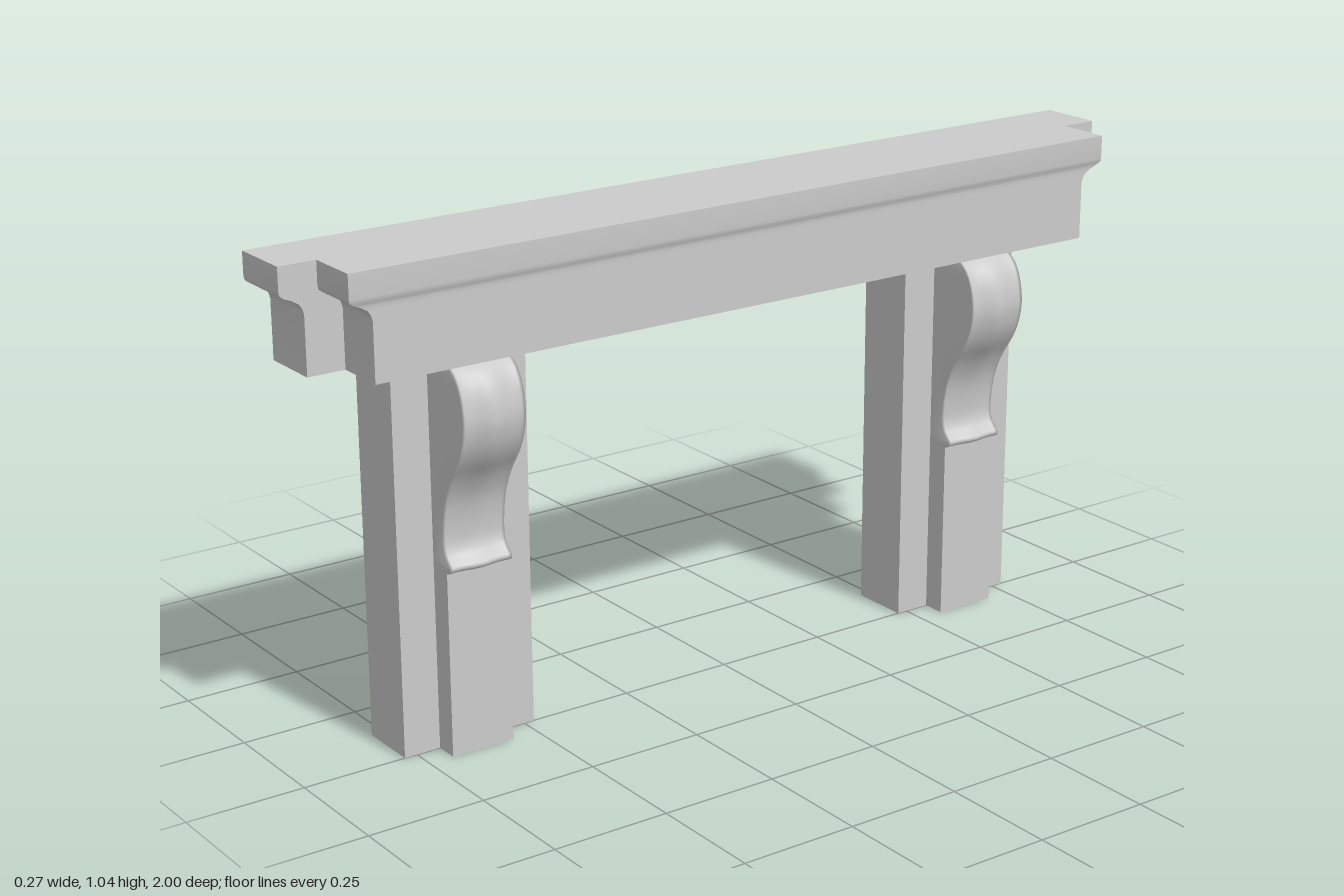
import * as THREE from 'three';
import { toCreasedNormals } from 'three/addons/utils/BufferGeometryUtils.js';

const material = new THREE.MeshStandardMaterial({ color: 0xcccccc });

function addMesh(parent, name, geometry) {
  const mesh = new THREE.Mesh(geometry, material);
  mesh.name = name;
  parent.add(mesh);
}

// Skin over rings of [x, y, z] points, listed bottom to top, with flat end caps.
function loft(rings, closed = true) {
  const n = rings[0].length;
  const positions = rings.flat(2);
  const index = [];
  const last = closed ? n : n - 1;
  for (let i = 0; i < rings.length - 1; i++) {
    for (let j = 0; j < last; j++) {
      const k = (j + 1) % n;
      const a = i * n + j, b = i * n + k;
      index.push(a, b, b + n, a, b + n, a + n);
    }
  }
  for (const [ring, top] of [[rings[0], false], [rings[rings.length - 1], true]]) {
    const start = positions.length / 3;
    const centre = [0, 1, 2].map((c) => ring.reduce((sum, p) => sum + p[c], 0) / n);
    positions.push(...ring.flat(), ...centre);
    for (let j = 0; j < n; j++) {
      const a = start + j, b = start + ((j + 1) % n);
      index.push(start + n, top ? a : b, top ? b : a);
    }
  }
  const geometry = new THREE.BufferGeometry();
  geometry.setAttribute('position', new THREE.Float32BufferAttribute(positions, 3));
  geometry.setIndex(index);
  geometry.computeVertexNormals();
  return geometry;
}

// Beam moulding: [end inset, height, face inset]
const moulding = [
  [0.05, 0.82, 0.005], [0.05, 0.94, 0.005], [0.047, 0.952, 0.005], [0.04, 0.962, 0.005],
  [0.025, 0.971, 0.005], [0.01, 0.977, 0.004], [0.002, 0.983, 0.001], [0, 0.99, 0], [0, 1.04, 0],
];

// Beam reaching from the seam at x = 0 to its outer face
function beam(outer, halfLength) {
  const rings = moulding.map(([endInset, y, faceInset]) => {
    const face = outer - Math.sign(outer) * faceInset;
    const x0 = Math.min(0, face), x1 = Math.max(0, face), z = halfLength - endInset;
    return [[x1, y, z], [x1, y, -z], [x0, y, -z], [x0, y, z]];
  });
  return toCreasedNormals(loft(rings), 0.6);
}

// Corbel silhouette: [depth, height]
const silhouette = [
  [0.05, 0.386], [0.063, 0.389], [0.067, 0.399], [0.056, 0.41], [0.044, 0.425], [0.039, 0.45],
  [0.043, 0.495], [0.054, 0.537], [0.076, 0.58], [0.108, 0.625], [0.127, 0.665], [0.135, 0.71],
  [0.126, 0.76], [0.103, 0.797], [0.065, 0.82],
];

// Corbel with a rounded centre rib between two raised edges
function corbel() {
  const halfWidth = 0.07, steps = 20;
  const curve = new THREE.SplineCurve(silhouette.map(([d, y]) => new THREE.Vector2(d, y)));
  const rings = curve.getPoints(56).map(({ x: depth, y }) => {
    const ring = [[0, y, halfWidth]];
    for (let i = 0; i <= steps; i++) {
      const t = 1 - (2 * i) / steps;
      const rib = 0.96 + 0.04 * Math.cos(t * Math.PI * 1.45) - 0.02 * t * t;
      ring.push([depth * rib, y, t * halfWidth]);
    }
    ring.push([0, y, -halfWidth]);
    return ring;
  });
  return loft(rings, false);
}

function box(x0, x1, height, width) {
  return new THREE.BoxGeometry(x1 - x0, height, width).translate((x0 + x1) / 2, height / 2, 0);
}

export function createModel() {
  const model = new THREE.Group();
  model.name = 'mantel';

  // Two-layer lintel
  addMesh(model, 'backBeam', beam(-0.137, 1));
  addMesh(model, 'frontBeam', beam(0.117, 0.92));

  // Matching legs, each with a pilaster and a corbel
  for (const [side, z] of [['near', 0.627], ['far', -0.627]]) {
    const leg = new THREE.Group();
    leg.name = side + 'Leg';
    leg.position.z = z;
    addMesh(leg, 'post', box(-0.132, 0, 0.82, 0.3));
    addMesh(leg, 'pilaster', box(0, 0.05, 0.388, 0.14));
    addMesh(leg, 'corbel', corbel());
    model.add(leg);
  }
  return model;
}
